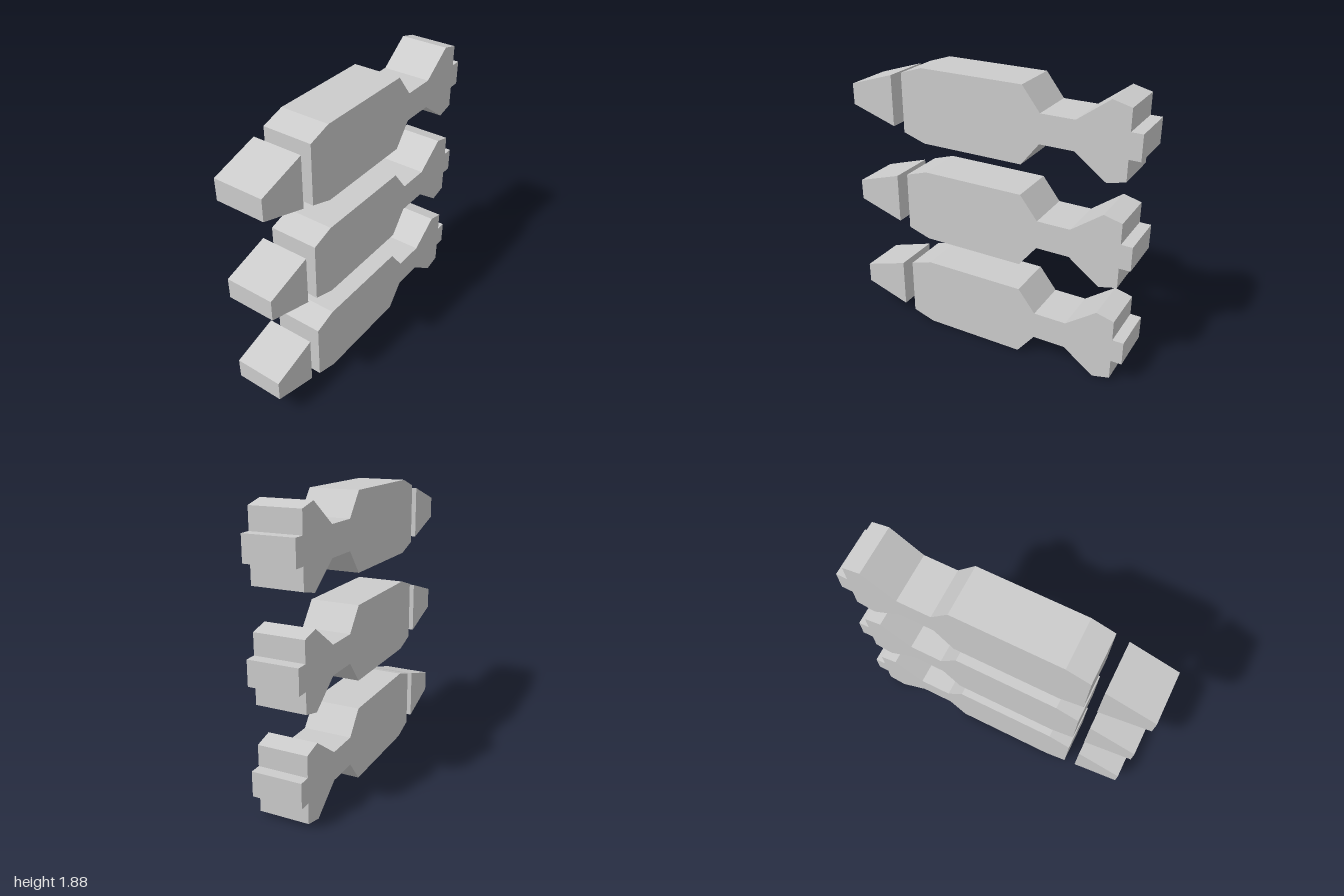
import * as THREE from 'three';

const DEPTH = 0.33;

// Upper halves of the outlines as [x, half height]; mirrored below the axis
const NOSE = [[-1, 0.071], [-0.682, 0.171]];
const BODY = [
  [-0.6, 0.198], [-0.445, 0.248], [0.257, 0.248], [0.377, 0.095], [0.6, 0.095],
  [0.807, 0.248], [0.926, 0.218], [0.926, 0.081], [1, 0.081],
];

// Extrudes a symmetric outline into a slab centred on z = 0
function slab(half) {
  const lower = half.map(([x, y]) => new THREE.Vector2(x, -y));
  const upper = half.map(([x, y]) => new THREE.Vector2(x, y)).reverse();
  const geometry = new THREE.ExtrudeGeometry(new THREE.Shape([...lower, ...upper]), {
    depth: DEPTH, bevelEnabled: false,
  });
  return geometry.translate(0, 0, -DEPTH / 2);
}

export function createModel() {
  const model = new THREE.Group();
  model.name = 'bombStack';
  const material = new THREE.MeshStandardMaterial({ color: 0xcccccc, flatShading: true });
  const parts = { noseCone: slab(NOSE), bodyAndTail: slab(BODY) };

  // Three identical bombs, one above the other
  [0.25, 0.938, 1.637].forEach((y, i) => {
    const bomb = new THREE.Group();
    bomb.name = `bomb${i + 1}`;
    for (const [name, geometry] of Object.entries(parts)) {
      const mesh = new THREE.Mesh(geometry, material);
      mesh.name = name;
      bomb.add(mesh);
    }
    bomb.position.y = y;
    model.add(bomb);
  });
  return model;
}
